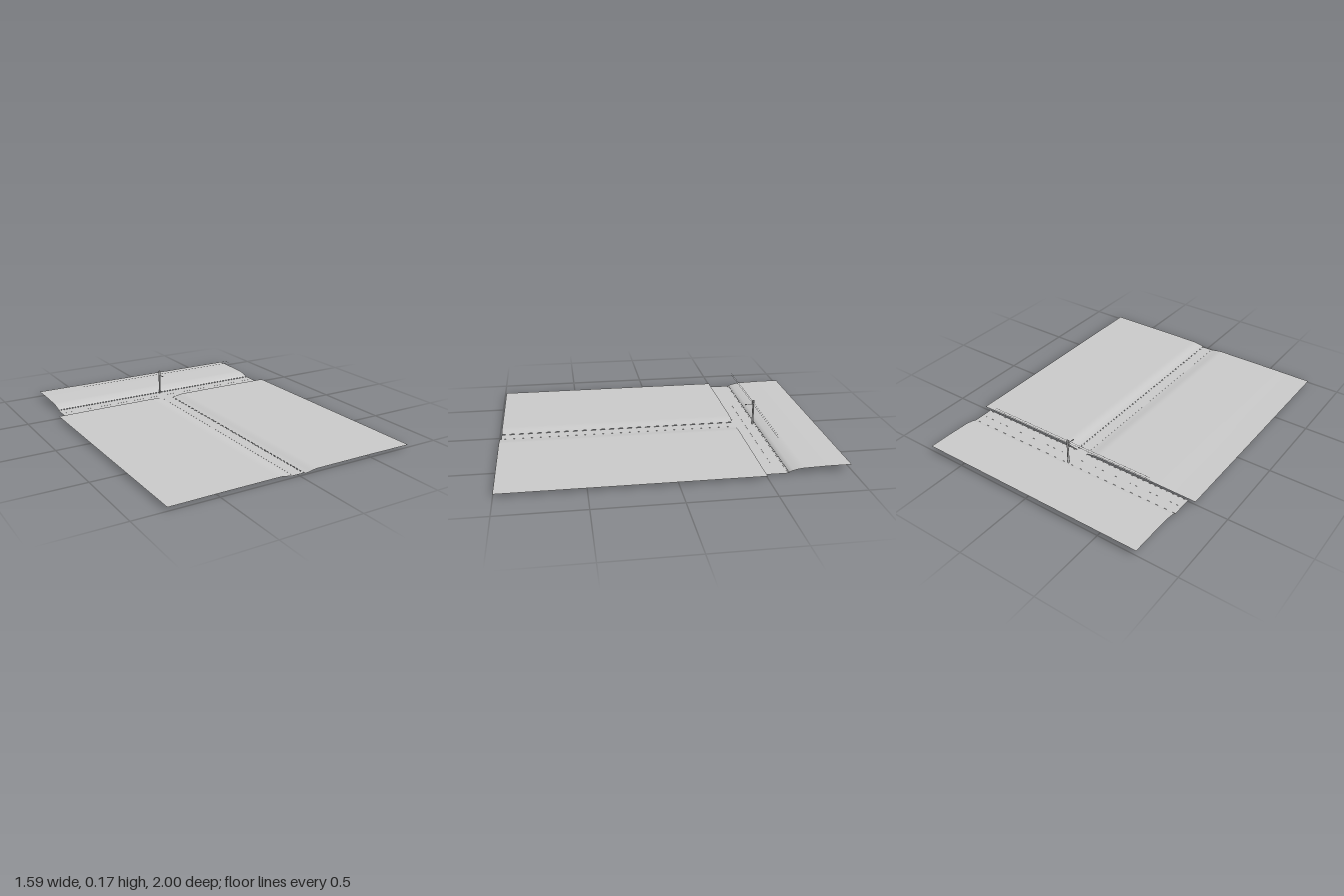
import * as THREE from 'three';

const mat = new THREE.MeshStandardMaterial({ color: 0xcccccc, side: THREE.DoubleSide });

export function createModel() {
  const root = new THREE.Group();

  const add = (name, geometry, x = 0, y = 0, z = 0) => {
    const mesh = new THREE.Mesh(geometry, mat);
    mesh.name = name;
    mesh.position.set(x, y, z);
    root.add(mesh);
    return mesh;
  };

  // Ground sheet whose height follows a rule over x and z
  const sheet = (name, x0, x1, z0, z1, nx, nz, height) => {
    const g = new THREE.PlaneGeometry(x1 - x0, z1 - z0, nx, nz).rotateX(-Math.PI / 2);
    g.translate((x0 + x1) / 2, 0, (z0 + z1) / 2);
    const p = g.attributes.position;
    for (let i = 0; i < p.count; i++) p.setY(i, height(p.getX(i), p.getZ(i)));
    g.computeVertexNormals();
    return add(name, g);
  };
  const smooth = THREE.MathUtils.smoothstep;

  // Fields: a shallow verge rising from the lane to nearly level ground
  const field = (x) => {
    const a = Math.abs(x);
    return 0.007 + 0.011 * smooth(a, 0.035, 0.12) - 0.002 * smooth(a, 0.4, 0.8);
  };
  sheet('leftField', 0.036, 0.79, -0.497, 1, 48, 2, field);
  sheet('rightField', -0.795, -0.042, -0.497, 0.99, 48, 2, field);

  // Roads forming a T junction
  sheet('mainRoad', -0.75, 0.748, -0.635, -0.497, 1, 1, () => 0.006);
  sheet('sideRoad', -0.042, 0.036, -0.497, 0.99, 1, 1, () => 0.006);

  // Bank behind the main road
  sheet('bank', -0.748, 0.744, -1, -0.635, 1, 40, (x, z) =>
    0.005 + 0.024 * Math.pow(smooth(-z, 0.59, 0.73), 0.8) * smooth(-z, 0.625, 0.65)
    + 0.004 * smooth(-z, 0.7, 0.9));

  // Painted lines along both roads
  const line = (name, x, z, w, d) => add(name, new THREE.BoxGeometry(w, 0.0006, d), x, 0.0066, z);
  for (let i = 0; i < 12; i++) line('centreDash', -0.69 + i * 0.125, -0.565, 0.07, 0.002);
  for (const x of [-0.037, 0.031]) line('sideRoadEdge', x, 0.25, 0.002, 1.48);
  line('mainRoadEdge', 0, -0.628, 1.49, 0.002);
  for (const x of [-0.396, 0.392]) line('mainRoadEdge', x, -0.503, 0.71, 0.002);

  // Utility pole with lamp arm
  add('pole', new THREE.CylinderGeometry(0.0055, 0.0065, 0.169, 12), 0, 0.0845, -0.62);
  add('lampArm', new THREE.CylinderGeometry(0.0015, 0.0015, 0.045, 8).rotateX(Math.PI / 2), 0, 0.141, -0.594);
  add('lampHead', new THREE.BoxGeometry(0.008, 0.004, 0.014), 0, 0.14, -0.572);
  add('insulatorBracket', new THREE.BoxGeometry(0.014, 0.022, 0.005), 0, 0.154, -0.6135);

  // Overhead wires
  for (const y of [0.147, 0.161]) {
    add('wire', new THREE.CylinderGeometry(0.0008, 0.0008, 1.145, 6).rotateZ(Math.PI / 2), 0, y, -0.614);
  }
  return root;
}
